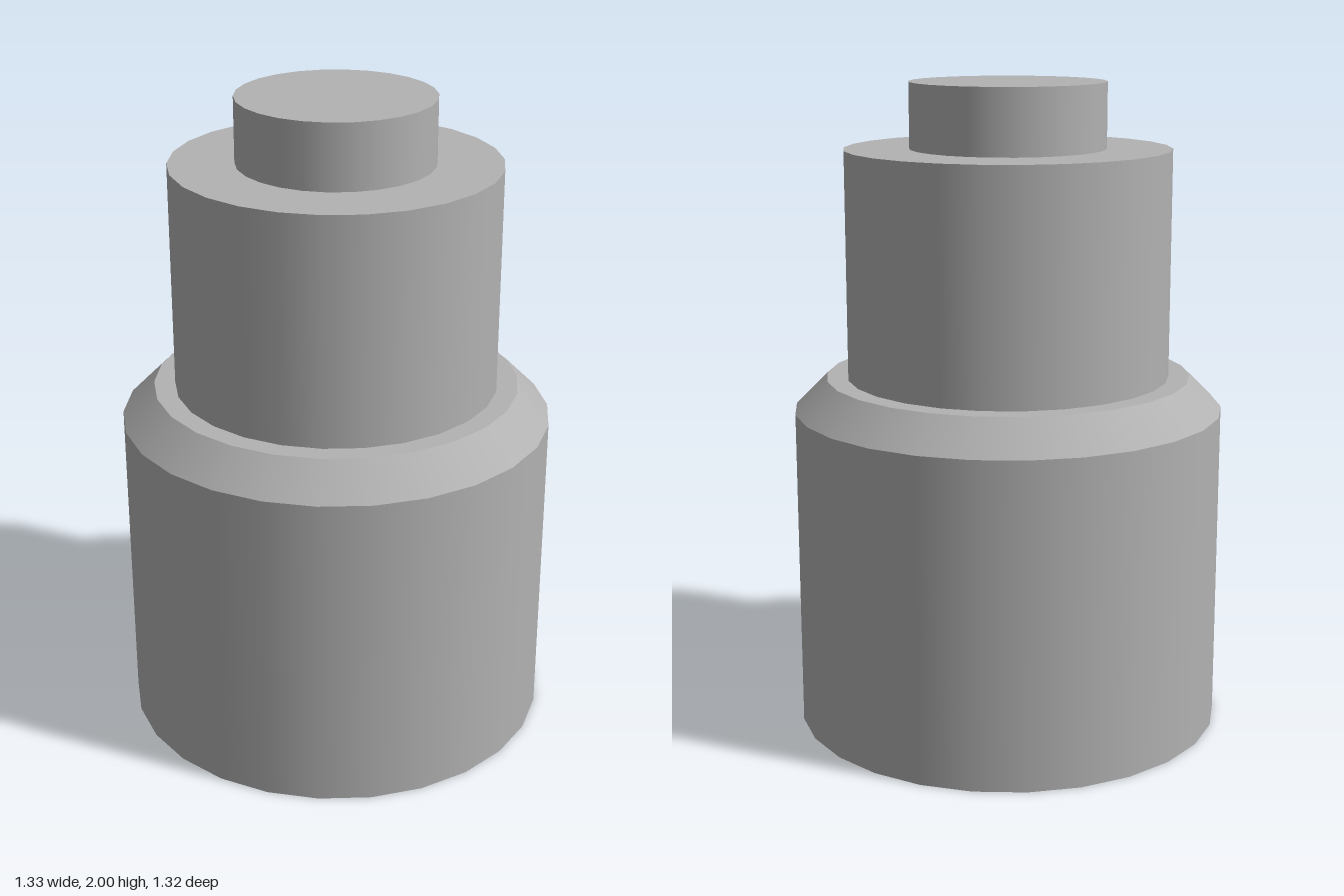
import * as THREE from 'three';
import { mergeGeometries } from 'three/addons/utils/BufferGeometryUtils.js';

const SIDES = 26;

// Revolves each profile segment separately: smooth around, sharp between bands.
function turned(profile) {
  const bands = [];
  for (let i = 0; i < profile.length - 1; i++) {
    const pair = [profile[i], profile[i + 1]].map(([r, y]) => new THREE.Vector2(r, y));
    bands.push(new THREE.LatheGeometry(pair, SIDES, Math.PI / 2));
  }
  return mergeGeometries(bands);
}

export function createModel() {
  const group = new THREE.Group();
  const grey = new THREE.MeshStandardMaterial({ color: 0xb2b2b2 });
  grey.name = 'grey';

  // Outer profiles as [radius, height], bottom to top
  const parts = {
    base: [[0, 0], [0.665, 0], [0.665, 1]],
    bevelledShoulder: [[0.665, 1], [0.565, 1.1], [0.5, 1.1]],
    column: [[0.5, 1.1], [0.5, 1.8], [0.3, 1.8]],
    topPeg: [[0.3, 1.8], [0.3, 2], [0, 2]],
  };
  for (const [name, profile] of Object.entries(parts)) {
    const mesh = new THREE.Mesh(turned(profile), grey);
    mesh.name = name;
    group.add(mesh);
  }
  return group;
}
